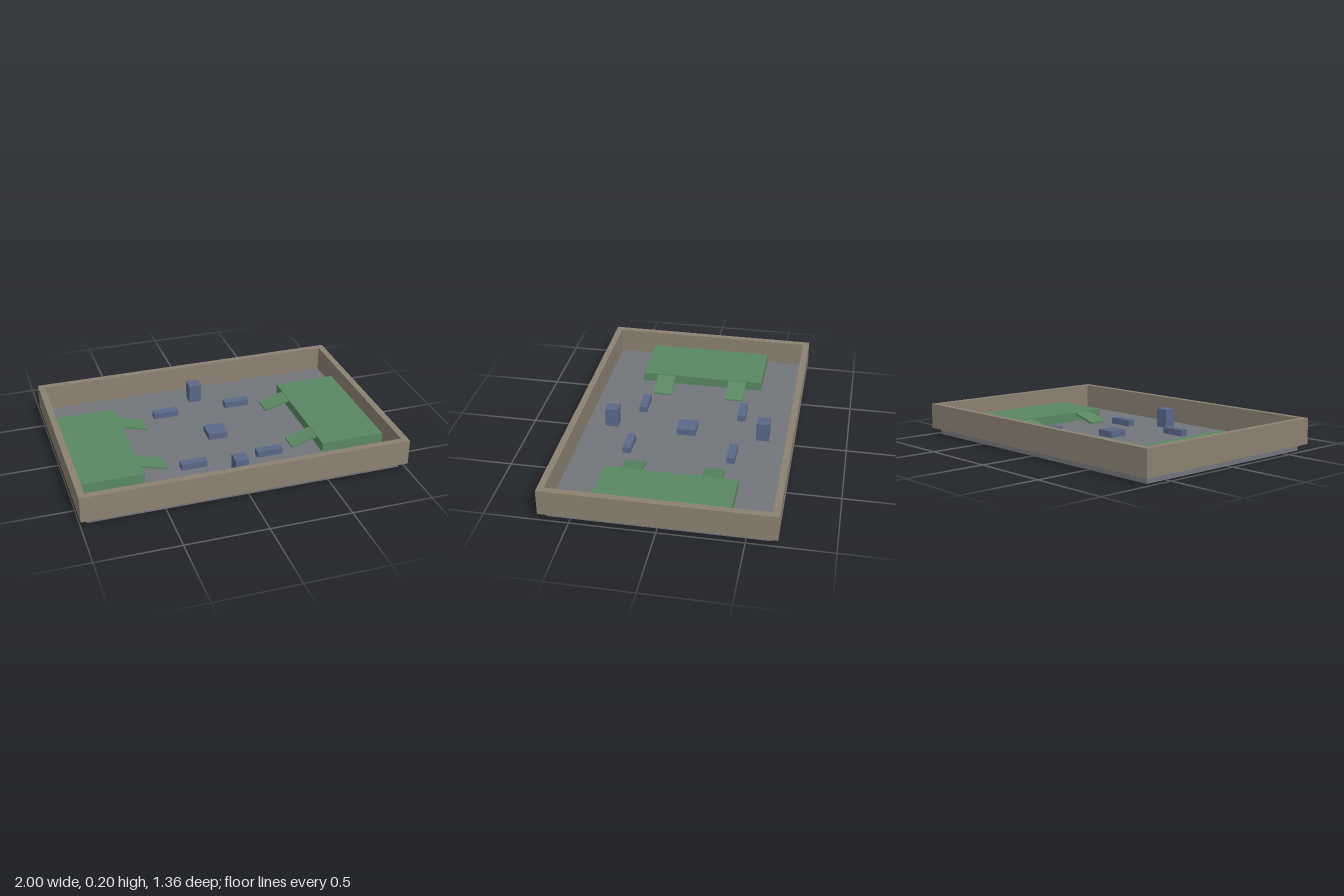
import * as THREE from 'three';

const mat = (name, color) => {
  const m = new THREE.MeshStandardMaterial({ color });
  m.name = name;
  return m;
};

export function createModel() {
  const model = new THREE.Group();
  model.name = 'arena';
  const wallTan = mat('wall tan', 0x8c8172);
  const floorGrey = mat('floor grey', 0x72757b);
  const platformGreen = mat('platform green', 0x5a8862);
  const coverBlue = mat('cover blue', 0x5a6888);

  const FLOOR = 0.04;

  const add = (name, geometry, material) => {
    const mesh = new THREE.Mesh(geometry, material);
    mesh.name = name;
    model.add(mesh);
    return mesh;
  };
  // Box standing on height y0
  const block = (name, material, x, y0, z, w, h, d) =>
    add(name, new THREE.BoxGeometry(w, h, d), material).position.set(x, y0 + h / 2, z);

  const rect = (T, w, d) => new T([[-w, -d], [w, -d], [w, d], [-w, d]].map(p => new THREE.Vector2(...p)));

  // Floor slab
  block('floor', floorGrey, 0, 0, 0, 1.92, FLOOR, 1.28);

  // Perimeter wall: a rectangular ring around the floor
  const ring = rect(THREE.Shape, 1, 0.68);
  ring.holes.push(rect(THREE.Path, 0.96, 0.64));
  const wall = new THREE.ExtrudeGeometry(ring, { depth: 0.16, bevelEnabled: false });
  wall.rotateX(-Math.PI / 2);
  add('perimeterWall', wall, wallTan).position.y = FLOOR;

  // Raised end platforms, each with two thin sloping ramps
  for (const s of [-1, 1]) {
    const side = s > 0 ? 'left' : 'right';
    block(side + 'Platform', platformGreen, s * 0.76, FLOOR, 0, 0.4, 0.06, 0.8);
    for (const z of [-0.24, 0.24]) {
      const profile = new THREE.Shape([
        [0.40, 0.036], [0.56, 0.082], [0.56, 0.096], [0.40, 0.05],
      ].map(([x, y]) => new THREE.Vector2(s * x, y)));
      const ramp = new THREE.ExtrudeGeometry(profile, { depth: 0.12, bevelEnabled: false });
      add(side + (z > 0 ? 'FrontRamp' : 'BackRamp'), ramp, platformGreen).position.z = z - 0.06;
    }
  }

  // Cover blocks: centre, four low barriers, two pillars
  block('centreBlock', coverBlue, 0, FLOOR, 0, 0.12, 0.04, 0.12);
  for (const sz of [-1, 1]) {
    block('pillar', coverBlue, 0, FLOOR, sz * 0.48, 0.08, 0.12, 0.08);
    for (const sx of [-1, 1]) block('lowBarrier', coverBlue, sx * 0.24, FLOOR, sz * 0.32, 0.16, 0.04, 0.05);
  }
  return model;
}
